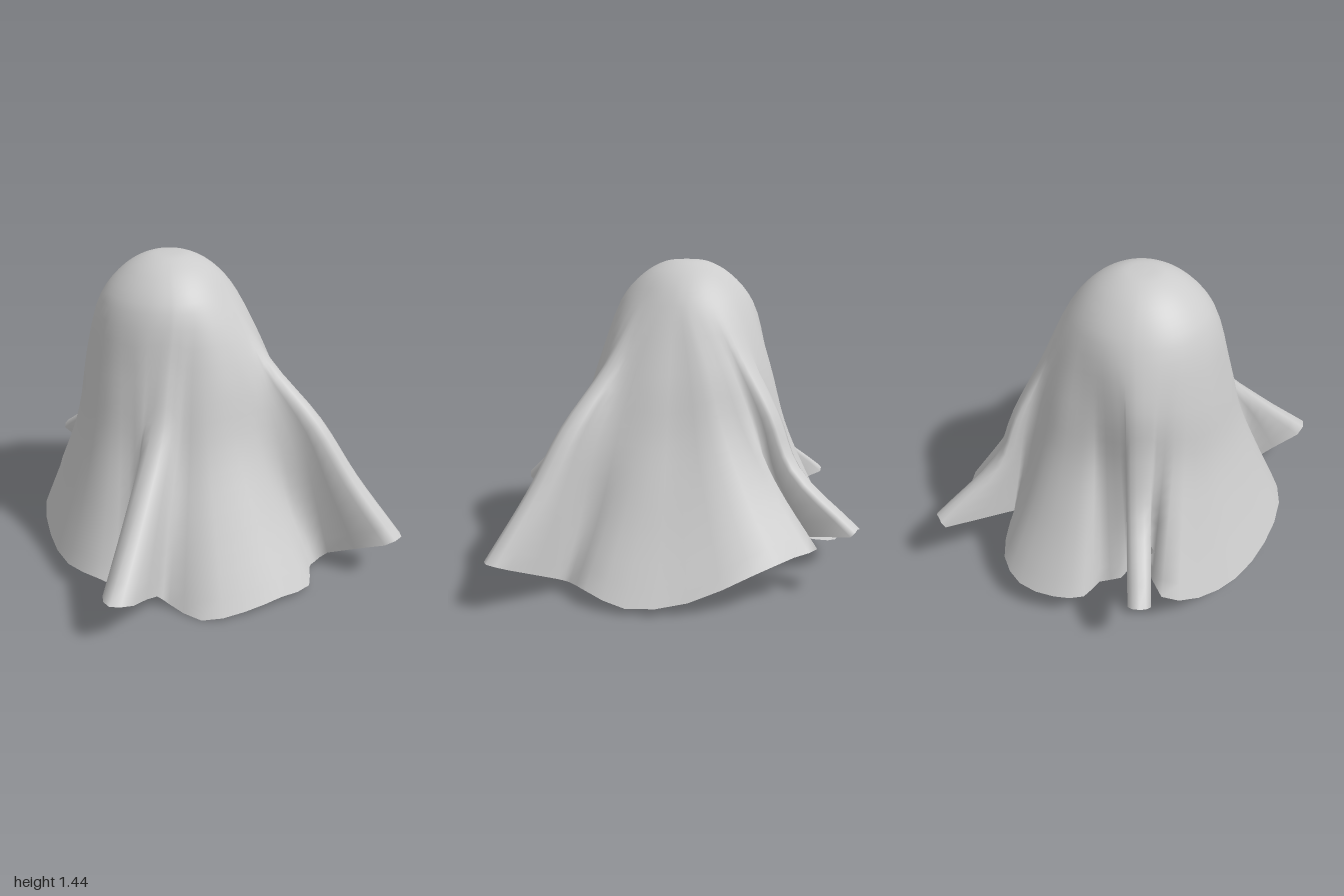
import * as THREE from 'three';

const V = (x, y, z) => new THREE.Vector3(x, y, z);
const { lerp, degToRad } = THREE.MathUtils;
const CX = -0.19, CZ = -0.01; // the dome sits off-centre
const SHOULDER = 0.32; // dome radius where the cloth leaves it
const STEPS = [0.25, 0.5, 0.75, 1];
const BODY = [0.22, 0.39, 0.67, 1]; // how fast the plain cloth spreads outwards
// How strongly a fold carries the cloth beside it, per step down, for columns 2 to 5 away
const CARRY = [[0.9, 0.7, 0.45, 0.2], [0.68, 0.4, 0.2, 0.08], [0.35, 0.14, 0.05, 0], [0, 0, 0, 0]];

// Four corners of the cloth, each hanging as a pinched fold.
// bearing: where it leaves the dome; dir: where it points (degrees from +z towards +x)
// lobe: hem points from this fold to the next one
const FOLDS = [
  { tip: [0.02, 0.22, 1], bearing: 28, dir: 0, blunt: 0.07, depth: 0.31, half: 0.075, neckY: 0.07,
    ridge: [0.12, 0.26, 0.6, 1],
    lobe: [[0.12, 0.02, 0.66], [0.29, 0, 0.68], [0.45, 0.02, 0.57], [0.57, 0.04, 0.43],
      [0.65, 0.02, 0.27], [0.62, 0.05, 0.18], [0.62, 0.03, 0.1]] },
  { tip: [1, 0.22, 0], bearing: 90, dir: 90, blunt: 0.06, depth: 0.33, half: 0.075, neckY: 0.07,
    ridge: [0.22, 0.52, 0.74, 1],
    lobe: [[0.64, 0.06, -0.1], [0.66, 0.07, -0.23], [0.6, 0.03, -0.42], [0.42, 0.06, -0.61],
      [0.2, 0.17, -0.78], [0, 0.21, -0.84], [-0.11, 0.23, -0.88]] },
  { tip: [-0.23, 0.32, -1], bearing: 162, dir: 192, blunt: 0.01, depth: 0.35, half: 0.055, neckY: 0.23,
    ridge: [0.2, 0.41, 0.57, 1],
    lobe: [[-0.24, 0.2, -0.68], [-0.4, 0.15, -0.74], [-0.55, 0.12, -0.7], [-0.67, 0.12, -0.57],
      [-0.71, 0.12, -0.44], [-0.65, 0.12, -0.35], [-0.69, 0.16, -0.26]] },
  { tip: [-0.99, 0.3, -0.27], bearing: 248, dir: 252, blunt: 0.03, depth: 0.32, half: 0.05, neckY: 0.2,
    ridge: [0.2, 0.27, 0.44, 1],
    lobe: [[-0.9, 0.23, -0.14], [-0.87, 0.12, 0.05], [-0.8, 0.1, 0.26], [-0.62, 0.08, 0.49],
      [-0.4, 0.09, 0.67], [-0.2, 0.1, 0.72], [-0.07, 0.05, 0.69]] },
];

// Distance a point lies beyond the shoulder of the dome
const reach = (x, z) => Math.hypot(x - CX, z - CZ) - SHOULDER;

// One strand of cloth from the crown, over the dome, down to its hem point
function strand(bearing, hem, spread) {
  const a = degToRad(bearing), sx = Math.sin(a), sz = Math.cos(a);
  const on = (r, y) => V(CX + r * sx, y, CZ + r * sz);
  const shoulder = on(SHOULDER, 1.24);
  const points = [V(CX, 1.44, CZ), on(0.1, 1.43), on(0.21, 1.37), shoulder];
  STEPS.forEach((s, i) => points.push(V(
    lerp(shoulder.x, hem.x, spread[i]),
    lerp(shoulder.y, hem.y, s),
    lerp(shoulder.z, hem.z, spread[i]))));
  return new THREE.CatmullRomCurve3(points, false, 'centripetal');
}

// Hem point of a fold, j columns from its tip
function foldHem(fold, j) {
  const a = degToRad(fold.dir), n = Math.abs(j), [x, y, z] = fold.tip;
  const back = [0, fold.blunt, fold.depth][n];
  const out = Math.sign(j) * [0, fold.half, fold.half * 0.75][n];
  return V(x - back * Math.sin(a) + out * Math.cos(a), [y, y - 0.02, fold.neckY][n],
    z - back * Math.cos(a) - out * Math.sin(a));
}

// Spread of a strand n columns from a fold: the ridge itself, or cloth carried along by it
function spreadNear(fold, n, hem) {
  if (n < 2) return fold.ridge;
  const own = reach(hem.x, hem.z), tip = reach(fold.tip[0], fold.tip[2]);
  return BODY.map((w, i) => lerp(w, fold.ridge[i] * tip / own, CARRY[i][n - 2] ?? 0));
}

// All strands in order round the cloth: half fold, lobe, half of the next fold
function makeStrands() {
  const strands = [];
  FOLDS.forEach((f, k) => {
    const next = FOLDS[(k + 1) % 4];
    const end = next.bearing + (k === 3 ? 360 : 0);
    for (let j = 0; j < 12; j++) {
      const hem = j < 3 ? foldHem(f, j) : j > 9 ? foldHem(next, j - 12) : V(...f.lobe[j - 3]);
      const spread = j <= 6 ? spreadNear(f, j, hem) : spreadNear(next, 12 - j, hem);
      strands.push(strand(lerp(f.bearing, end, j / 12), hem, spread));
    }
  });
  return strands;
}

function clothGeometry() {
  const strands = makeStrands(), rows = 28, cols = strands.length * 2;
  const positions = [CX, 1.44, CZ], index = [];
  for (let r = 1; r <= rows; r++) {
    const ring = new THREE.CatmullRomCurve3(
      strands.map((s) => s.getPoint(r / rows)), true, 'centripetal');
    for (let c = 0; c < cols; c++) positions.push(...ring.getPoint(c / cols).toArray());
  }
  const at = (r, c) => 1 + (r - 1) * cols + (c % cols);
  for (let c = 0; c < cols; c++) {
    index.push(0, at(1, c), at(1, c + 1));
    for (let r = 1; r < rows; r++) {
      const a = at(r, c), b = at(r + 1, c), d = at(r, c + 1), e = at(r + 1, c + 1);
      index.push(a, b, d, b, e, d);
    }
  }
  const geometry = new THREE.BufferGeometry();
  geometry.setAttribute('position', new THREE.Float32BufferAttribute(positions, 3));
  geometry.setIndex(index);
  geometry.computeVertexNormals();
  return geometry;
}

export function createModel() {
  const group = new THREE.Group();
  group.name = 'drapedCloth';
  const cloth = new THREE.Mesh(clothGeometry(),
    new THREE.MeshStandardMaterial({ color: 0xcccccc, side: THREE.DoubleSide }));
  cloth.name = 'cloth';
  group.add(cloth);
  return group;
}
